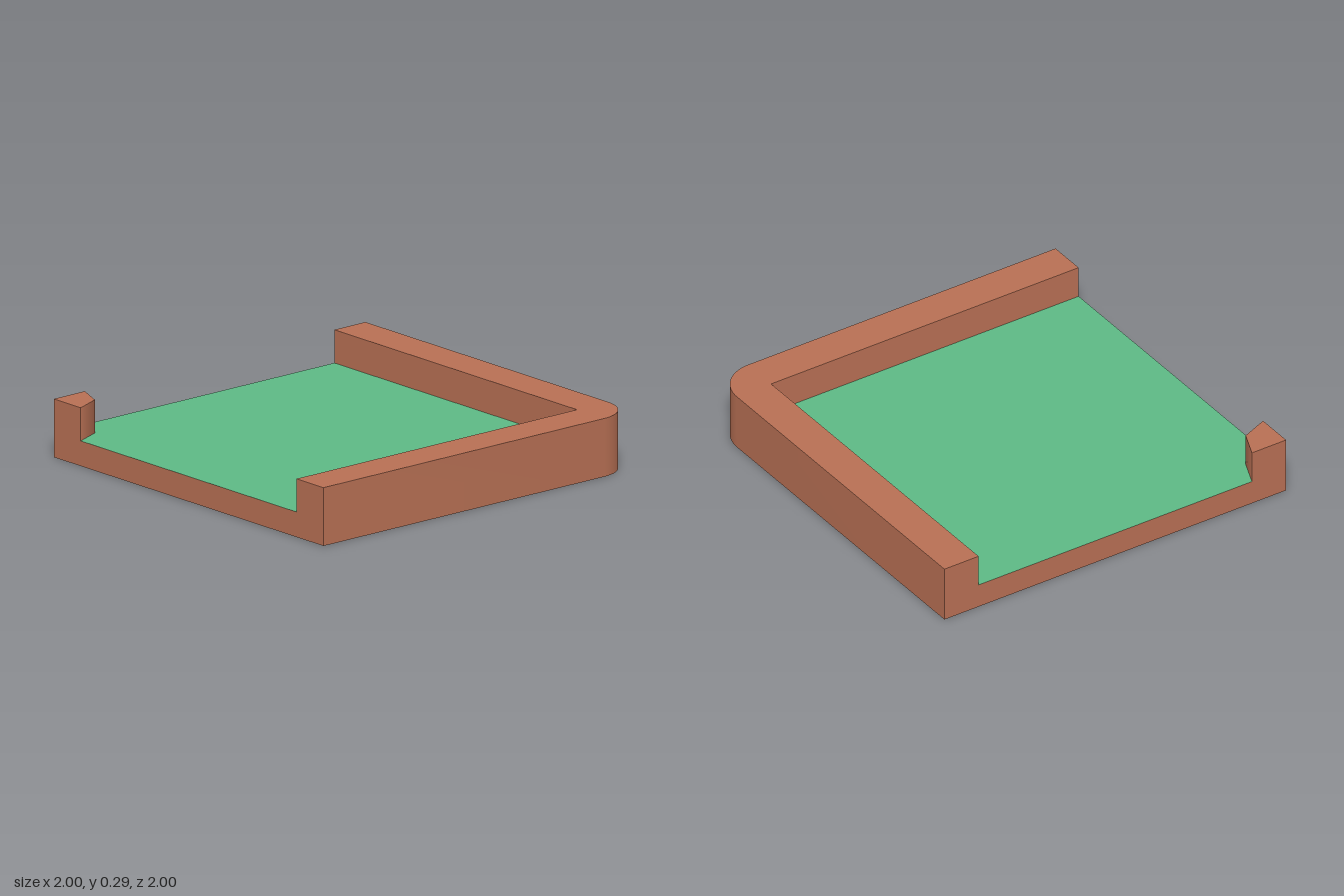
import * as THREE from 'three';
import { toCreasedNormals } from 'three/addons/utils/BufferGeometryUtils.js';

const TOP = 0.295;     // height of the rim
const FLOOR = 0.127;   // height of the sunken floor
const RIM = 0.2;       // rim width and corner radius

export function createModel() {
  const brown = new THREE.MeshStandardMaterial({ color: 0xb87054 });
  brown.name = 'earthBrown';
  const green = new THREE.MeshStandardMaterial({ color: 0x5eb985 });
  green.name = 'floorGreen';

  const group = new THREE.Group();
  group.name = 'cornerTile';
  const add = (name, geometry, material, x = 0, y = 0, z = 0) => {
    const mesh = new THREE.Mesh(geometry, material);
    mesh.name = name;
    mesh.position.set(x, y, z);
    group.add(mesh);
  };

  // L-shaped rim along the front and left, rounded at the outer corner
  const inner = 1 - RIM;
  const outline = new THREE.Shape();
  outline.moveTo(inner, -1);
  outline.lineTo(1, -1);
  outline.lineTo(1, inner);
  outline.absarc(inner, inner, RIM, 0, Math.PI / 2, false);
  outline.lineTo(-1, 1);
  outline.lineTo(-1, inner);
  outline.lineTo(inner, inner);
  outline.closePath();
  const rim = new THREE.ExtrudeGeometry(outline, { depth: TOP, bevelEnabled: false, curveSegments: 12 });
  rim.rotateX(Math.PI / 2).translate(0, TOP, 0);
  add('rim', toCreasedNormals(rim, Math.PI / 6), brown);

  // Slab inside the rim, with a green top face
  const size = 2 - RIM;
  add('floorSlab', new THREE.BoxGeometry(size, FLOOR, size),
    [brown, brown, green, brown, brown, brown], -RIM / 2, FLOOR / 2, -RIM / 2);

  // Small quarter-round post in the opposite corner
  const h = TOP - FLOOR;
  const y = FLOOR + h / 2;
  add('cornerPost', new THREE.CylinderGeometry(RIM, RIM, h, 2, 1, false, 0, Math.PI / 2), brown, -1, y, -1);
  const side = new THREE.PlaneGeometry(RIM, h);
  add('postBack', side.clone().rotateY(Math.PI), brown, -1 + RIM / 2, y, -1);
  add('postSide', side.clone().rotateY(-Math.PI / 2), brown, -1, y, -1 + RIM / 2);

  return group;
}
